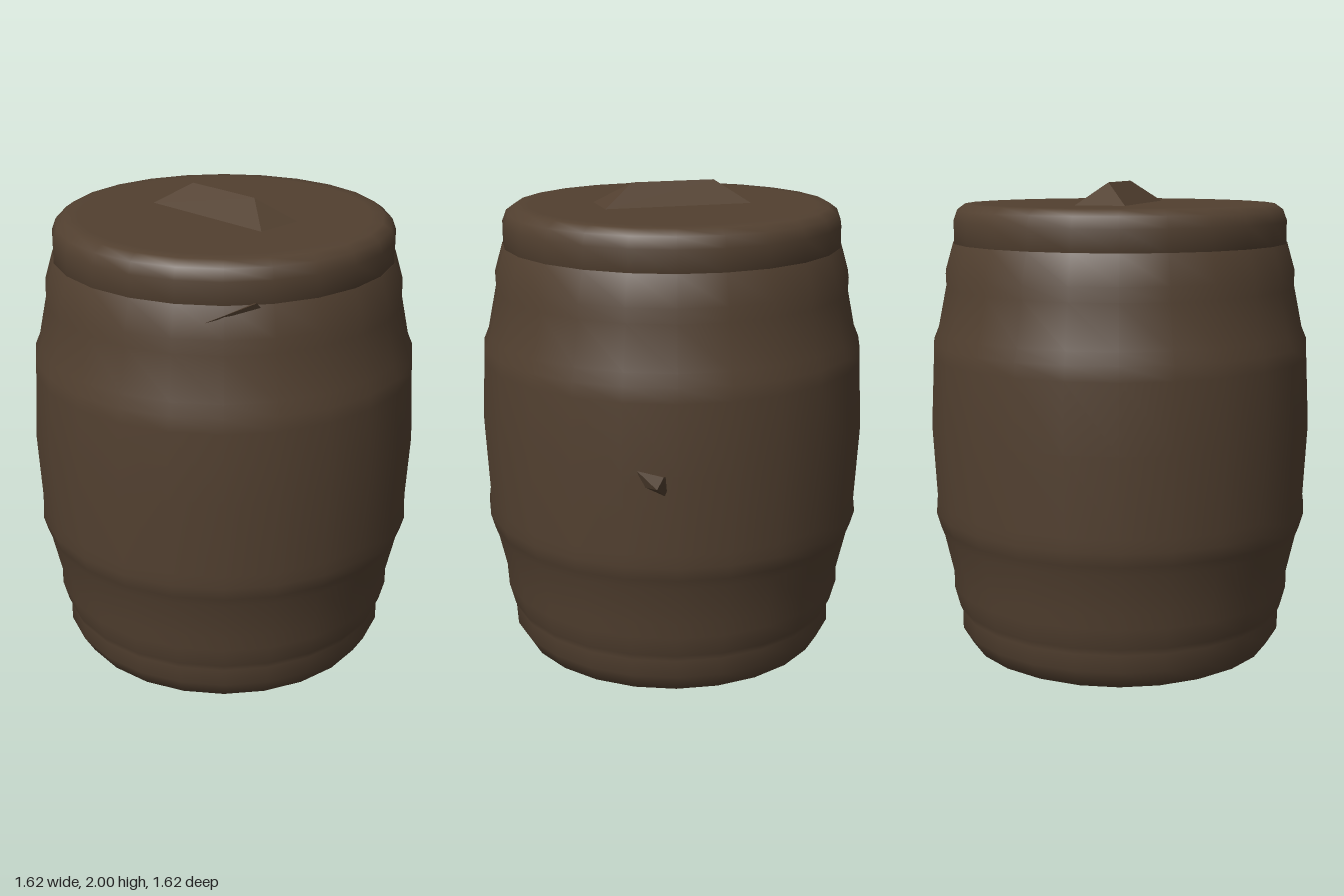
import * as THREE from 'three';

// Flat-shaded mesh from corner points and triangles
function facets(name, corners, triangles, material) {
  const g = new THREE.BufferGeometry();
  const points = triangles.flat().flatMap((i) => corners[i]);
  g.setAttribute('position', new THREE.Float32BufferAttribute(points, 3));
  g.computeVertexNormals();
  const mesh = new THREE.Mesh(g, material);
  mesh.name = name;
  return mesh;
}

function turned(name, profile, material) {
  const points = profile.map(([r, y]) => new THREE.Vector2(r, y));
  const mesh = new THREE.Mesh(new THREE.LatheGeometry(points, 24), material);
  mesh.name = name;
  return mesh;
}

export function createModel() {
  const group = new THREE.Group();
  group.name = 'barrel';
  const wood = new THREE.MeshStandardMaterial({ color: 0x524030 });
  wood.name = 'dark brown wood';

  // Bulging body with raised hoops
  group.add(turned('body', [
    [0.62, 0.008], [0.655, 0.025], [0.70, 0.1], [0.697, 0.17], [0.71, 0.2],
    [0.734, 0.29], [0.732, 0.35], [0.77, 0.52], [0.785, 0.56], [0.802, 0.62],
    [0.795, 0.67], [0.812, 1.0], [0.798, 1.28], [0.796, 1.34], [0.775, 1.39],
    [0.738, 1.57], [0.74, 1.63], [0.705, 1.75], [0.69, 1.753],
  ], wood));

  // Lid with a rounded rim, and the flat base
  group.add(turned('lid', [
    [0.68, 1.745], [0.702, 1.75], [0.702, 1.84], [0.685, 1.885], [0.65, 1.91], [0.6, 1.911],
  ], wood));
  group.add(turned('lidTop', [[0.6, 1.911], [0, 1.911]], wood));
  group.add(turned('base', [[0, 0], [0.6, 0], [0.62, 0.008]], wood));

  // Wedge-shaped grip on the lid
  group.add(facets('lidGrip', [
    [-0.105, 1.91, 0.31], [0.105, 1.91, 0.31], [0.105, 1.91, -0.31], [-0.105, 1.91, -0.31],
    [0, 2, 0.17], [0, 2, -0.18],
  ], [[0, 1, 4], [1, 2, 5], [1, 5, 4], [2, 3, 5], [3, 0, 4], [3, 4, 5]], wood));

  // Small bung on the model's left side
  group.add(facets('bung', [
    [0.73, 1.02, 0.355], [0.74, 0.99, 0.24], [0.745, 0.9, 0.235], [0.72, 0.95, 0.33],
    [0.795, 0.96, 0.295], [0.8, 1.01, 0.27],
  ], [[0, 4, 5], [0, 3, 4], [3, 2, 4], [2, 1, 5], [2, 5, 4], [1, 0, 5]], wood));

  // Splinter under the lid rim
  group.add(facets('splinter', [
    [-0.56, 1.69, 0.46], [-0.4, 1.743, 0.59], [-0.42, 1.765, 0.59], [-0.4, 1.74, 0.52],
  ], [[0, 1, 2], [0, 3, 1], [0, 2, 3], [1, 3, 2]], wood));

  return group;
}
